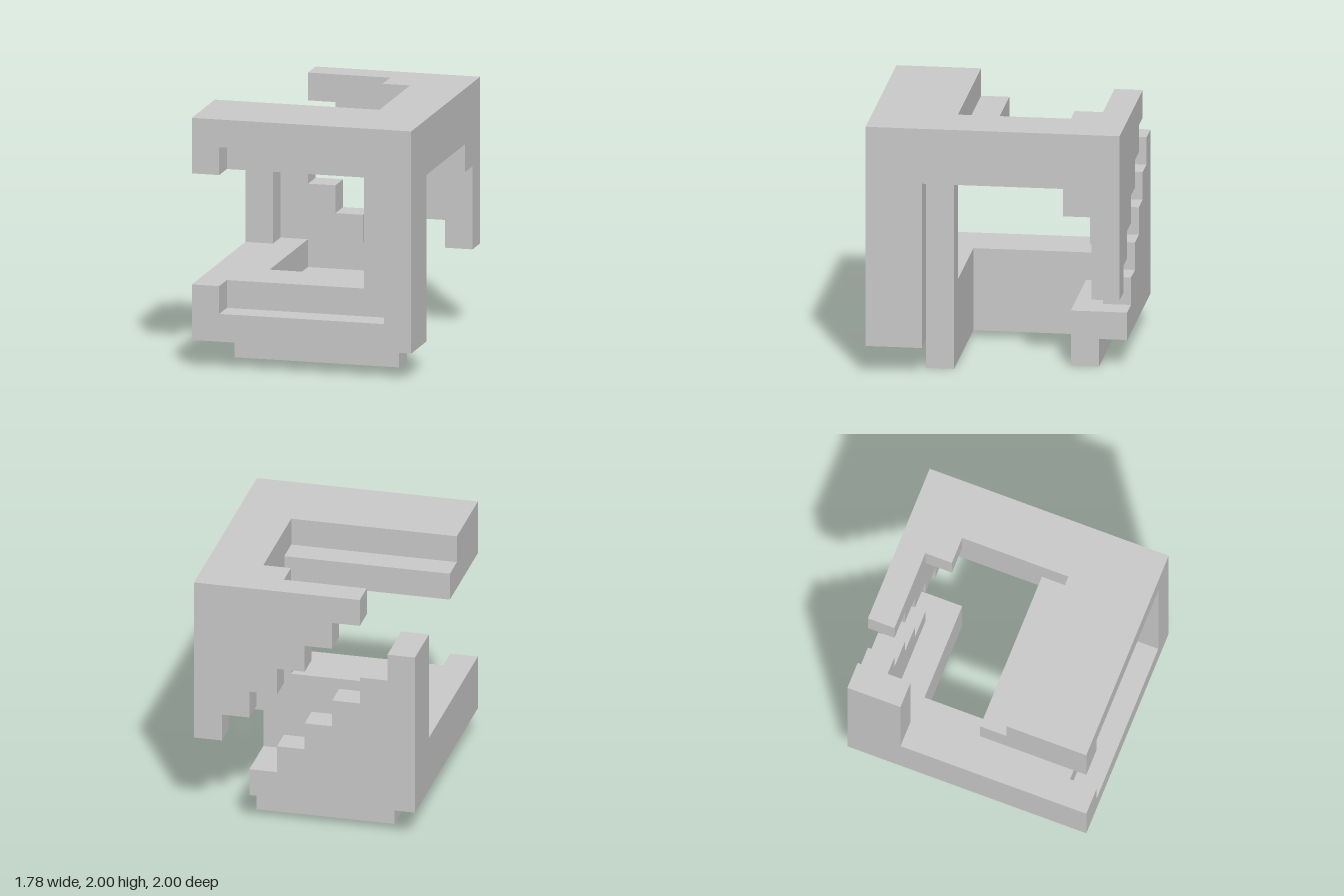
import * as THREE from 'three';

// Block-grid unit: the model is 8 x 9 x 9 units
const U = 2 / 9;

export function createModel() {
  const group = new THREE.Group();
  const material = new THREE.MeshStandardMaterial({ color: 0xcccccc, flatShading: true });

  // Extrudes an x-y profile (grid units) from depth z0 to z1, counted from the back
  function slab(name, profile, z0, z1) {
    const shape = new THREE.Shape(profile.map(([x, y]) => new THREE.Vector2((x - 4) * U, y * U)));
    const geometry = new THREE.ExtrudeGeometry(shape, { depth: (z1 - z0) * U, bevelEnabled: false });
    geometry.translate(0, 0, z0 * U - 1);
    const mesh = new THREE.Mesh(geometry, material);
    mesh.name = name;
    group.add(mesh);
  }

  const rect = (x0, y0, x1, y1) => [[x0, y0], [x1, y0], [x1, y1], [x0, y1]];

  // Staircase points going right and down, starting at the top of a riser
  function stairs(x, y, count) {
    const points = [];
    for (let i = 0; i < count; i++) points.push([x + i, y - i], [x + i + 1, y - i]);
    return points;
  }

  // Front frame, open on one side, with a shallow rebate around its opening
  slab('frontFrameRim', [[0, 1], [8, 1], [8, 9], [0, 9], [0, 7], [1, 7],
    [1, 8], [7, 8], [7, 2], [1, 2], [1, 3], [0, 3]], 8, 9);
  slab('frontFrame', [[0, 1], [8, 1], [8, 9], [0, 9], [0, 7], [6, 7], [6, 3], [0, 3]], 7, 8);
  slab('frontFrameInner', [[0, 1], [1, 1], [1, 0], [7, 0], [7, 7], [8, 7],
    [8, 9], [0, 9], [0, 7], [6, 7], [6, 3], [0, 3]], 6, 7);

  // Top: ledge behind the front bar and the beam running back
  slab('topLedge', rect(0, 7, 6, 8), 5, 6);
  slab('topSideBeam', rect(6, 7, 8, 9), 2, 6);

  // Bottom rail with its plinth
  slab('bottomSideRail', [[0, 1], [1, 1], [1, 0], [2, 0], [2, 3], [0, 3]], 2, 6);

  // Back, inner layer: lower post and ledge, upper stepped bracket
  slab('backPostAndLedge', [[0, 1], [1, 1], [1, 0], [6, 0], [6, 2], [2, 2],
    [2, 3], [1, 3], [1, 7], [0, 7]], 1, 2);
  slab('upperBracket', [[8, 9], [5, 9], ...stairs(5, 8, 3)], 1, 2);

  // Back, outer layer: two facing staircases
  slab('lowerStairs', [[0, 1], ...stairs(0, 7, 6), [6, 1]], 0, 1);
  slab('upperStairs', [[8, 9], [2, 9], ...stairs(2, 8, 6)], 0, 1);

  return group;
}
